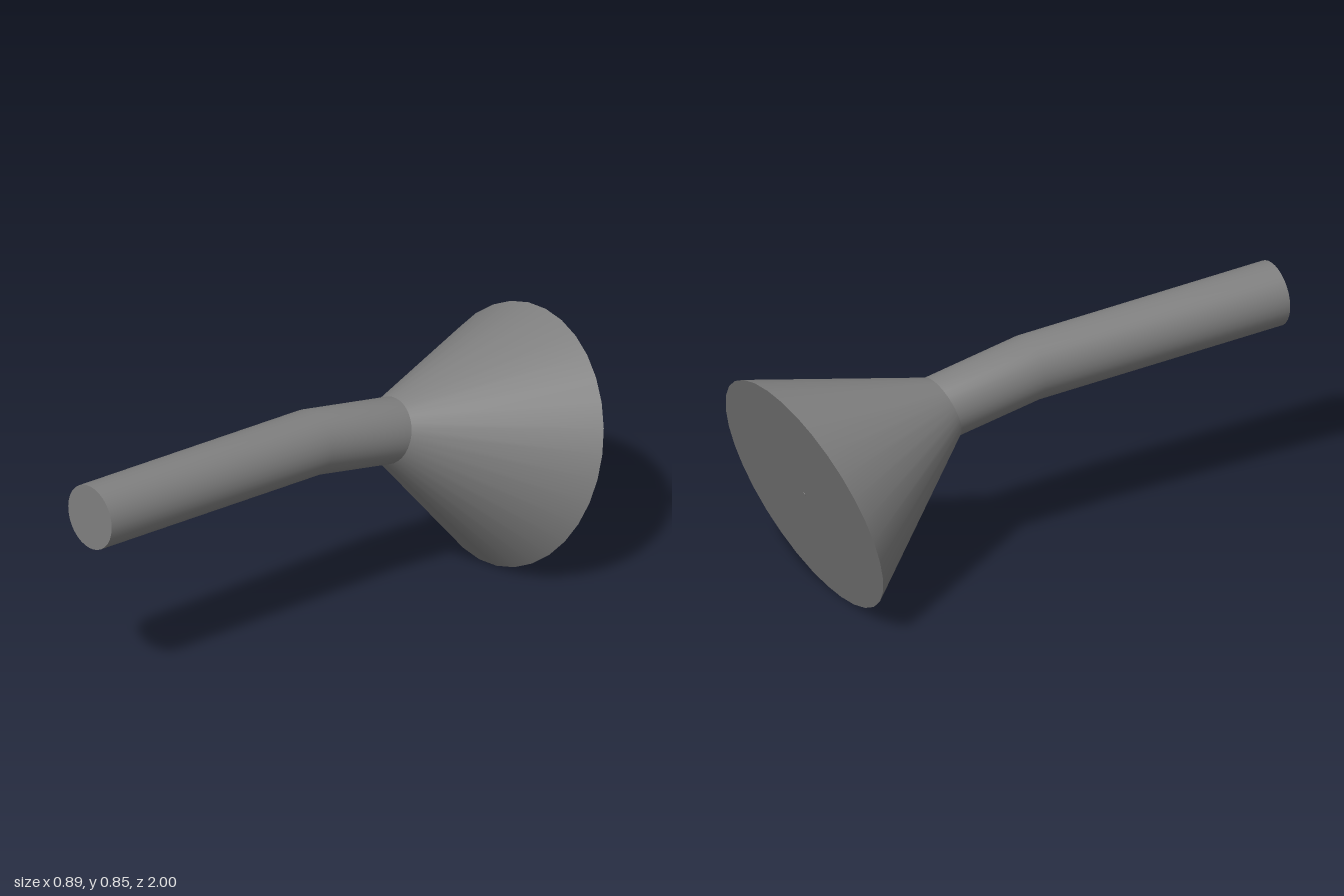
import * as THREE from 'three';

const SIDES = 32;
const YAW = 0.0125; // slight sideways turn of every ring
const material = new THREE.MeshStandardMaterial({ color: 0x808080 });

// Tilted rings from front to back: centre x, half width, top and bottom as [y, z]
const rings = {
  tip: { x: -0.025, r: 0.114, top: [0.818, 0.992], bottom: [0.59, 0.998] },
  bend: { x: -0.017, r: 0.114, top: [0.787, 0.02], bottom: [0.56, 0.034] },
  neck: { x: -0.008, r: 0.114, top: [0.719, -0.347], bottom: [0.503, -0.275] },
  mouth: { x: 0, r: 0.446, top: [0.846, -1.0], bottom: [0, -0.706] },
};

function ringPoints({ x, r, top, bottom }) {
  const points = [];
  for (let i = 0; i < SIDES; i++) {
    const a = (i / SIDES) * Math.PI * 2;
    const side = r * Math.cos(a);
    const t = (Math.sin(a) + 1) / 2;
    points.push(
      x + side,
      THREE.MathUtils.lerp(bottom[0], top[0], t),
      THREE.MathUtils.lerp(bottom[1], top[1], t) + side * YAW
    );
  }
  return points;
}

function ringCentre({ x, top, bottom }) {
  return [x, (top[0] + bottom[0]) / 2, (top[1] + bottom[1]) / 2];
}

function makeMesh(name, positions, index) {
  const geometry = new THREE.BufferGeometry();
  geometry.setAttribute('position', new THREE.Float32BufferAttribute(positions, 3));
  geometry.setIndex(index);
  geometry.computeVertexNormals();
  const mesh = new THREE.Mesh(geometry, material);
  mesh.name = name;
  return mesh;
}

// Smooth skin joining successive rings
function loft(name, list) {
  const index = [];
  for (let k = 0; k < list.length - 1; k++) {
    for (let i = 0; i < SIDES; i++) {
      const a = k * SIDES + i;
      const b = k * SIDES + ((i + 1) % SIDES);
      index.push(a, a + SIDES, b, b, a + SIDES, b + SIDES);
    }
  }
  return makeMesh(name, list.flatMap(ringPoints), index);
}

// Flat disc closing a ring
function cap(name, ring, facesBack) {
  const index = [];
  for (let i = 0; i < SIDES; i++) {
    const j = (i + 1) % SIDES;
    index.push(SIDES, facesBack ? j : i, facesBack ? i : j);
  }
  return makeMesh(name, [...ringPoints(ring), ...ringCentre(ring)], index);
}

export function createModel() {
  const { tip, bend, neck, mouth } = rings;
  const model = new THREE.Group();
  model.name = 'bentFunnel';

  // Tiny stud in the middle of the wide face, along the face's normal
  const stud = new THREE.Mesh(new THREE.CylinderGeometry(0.006, 0.006, 0.004, 12), material);
  stud.name = 'centreStud';
  stud.position.set(...ringCentre(mouth));
  stud.rotation.x = Math.atan2(mouth.bottom[0] - mouth.top[0], mouth.top[1] - mouth.bottom[1]);

  model.add(
    loft('bentTube', [tip, bend, neck]),
    loft('flaredCone', [neck, mouth]),
    cap('tubeEnd', tip, false),
    cap('coneFace', mouth, true),
    stud
  );
  return model;
}
